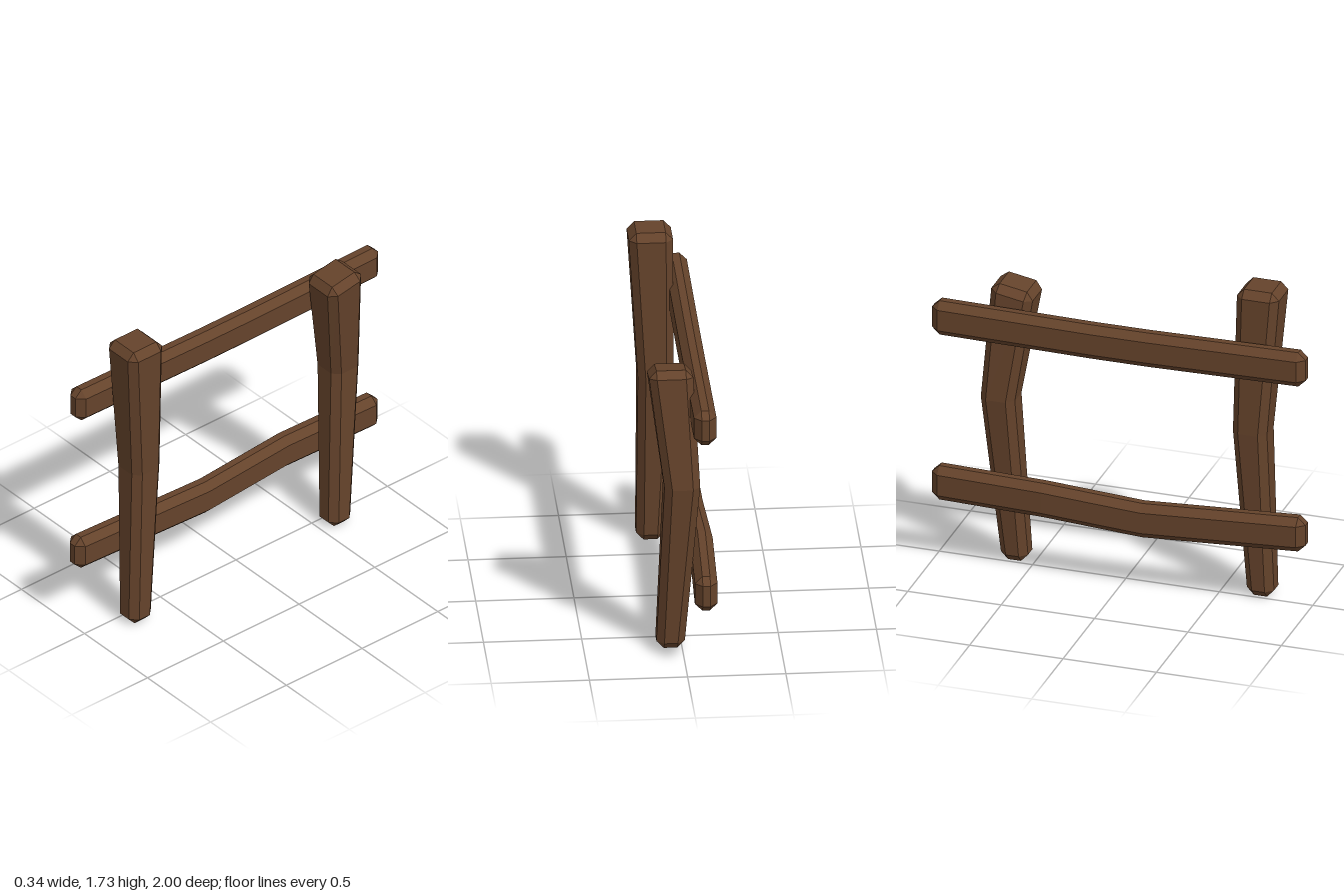
import * as THREE from 'three';

const wood = new THREE.MeshStandardMaterial({ color: 0x65432b, flatShading: true });
const CUT = 0.038; // width of the bevels

// Eight corners of a bevelled section; on an end cap each pair merges into one
function ring({ p, a, b, cap, tilt = 0 }, u, v) {
  const ia = a - CUT, ib = b - CUT, ca = cap ? ia : a, cb = cap ? ib : b;
  const corners = [[ca, -ib], [ca, ib], [ia, cb], [-ia, cb], [-ca, ib], [-ca, -ib], [-ia, -cb], [ia, -cb]];
  const axisX = new THREE.Vector3(1, 0, 0);
  return corners.map(([s, t]) => new THREE.Vector3()
    .addScaledVector(u, s).addScaledVector(v, t)
    .applyAxisAngle(axisX, tilt)
    .add(new THREE.Vector3(...p)));
}

// Timber skinned through a row of sections running along u x v
function timber(name, sections, u, v) {
  const rings = sections.map((s) => ring(s, u, v));
  const pos = [];
  const tri = (a, b, c) => {
    if (a.distanceTo(b) < 1e-6 || b.distanceTo(c) < 1e-6 || c.distanceTo(a) < 1e-6) return;
    pos.push(...a.toArray(), ...b.toArray(), ...c.toArray());
  };
  for (let k = 0; k < rings.length - 1; k++) {
    const lo = rings[k], hi = rings[k + 1];
    for (let i = 0; i < 8; i++) {
      const j = (i + 1) % 8;
      tri(lo[i], lo[j], hi[j]);
      tri(lo[i], hi[j], hi[i]);
    }
  }
  const first = rings[0], last = rings[rings.length - 1];
  for (let i = 1; i < 7; i++) {
    tri(first[0], first[i + 1], first[i]);
    tri(last[0], last[i], last[i + 1]);
  }
  const geometry = new THREE.BufferGeometry();
  geometry.setAttribute('position', new THREE.Float32BufferAttribute(pos, 3));
  geometry.computeVertexNormals();
  const mesh = new THREE.Mesh(geometry, wood);
  mesh.name = name;
  return mesh;
}

// Upright: narrow foot, bent middle, broad head
function post(name, foot, middle, head, tilt = 0) {
  const tip = [head[0], head[1] + 0.04 * Math.cos(tilt), head[2] + 0.04 * Math.sin(tilt)];
  return timber(name, [
    { p: [foot[0], 0, foot[2]], a: 0.0725, b: 0.0725, cap: true },
    { p: foot, a: 0.0725, b: 0.0725 },
    { p: middle, a: 0.091, b: 0.091 },
    { p: head, a: 0.1125, b: 0.1125, tilt },
    { p: tip, a: 0.1125, b: 0.1125, tilt, cap: true },
  ], new THREE.Vector3(1, 0, 0), new THREE.Vector3(0, 0, -1));
}

// Crossbar: bevelled ends with sagging points in between
function rail(name, x, y, bends) {
  const size = { a: 0.0575, b: 0.095 };
  return timber(name, [
    { p: [x, y, -1], ...size, cap: true },
    { p: [x, y, -0.96], ...size },
    ...bends.map((p) => ({ p, ...size })),
    { p: [x, y, 0.96], ...size },
    { p: [x, y, 1], ...size, cap: true },
  ], new THREE.Vector3(1, 0, 0), new THREE.Vector3(0, 1, 0));
}

export function createModel() {
  const fence = new THREE.Group();
  fence.name = 'fence';
  fence.add(
    post('frontPost', [0.058, 0.04, 0.712], [0.035, 0.93, 0.67], [0.058, 1.69, 0.712]),
    post('backPost', [0.058, 0.04, -0.605], [0.005, 0.93, -0.67], [0.058, 1.51, -0.605], 0.18),
    rail('upperRail', -0.0925, 1.37, [[-0.0925, 1.358, -0.15], [-0.0925, 1.358, 0.15]]),
    rail('lowerRail', -0.0975, 0.445, [[-0.117, 0.44, -0.4], [-0.108, 0.403, 0.13]]),
  );
  return fence;
}
